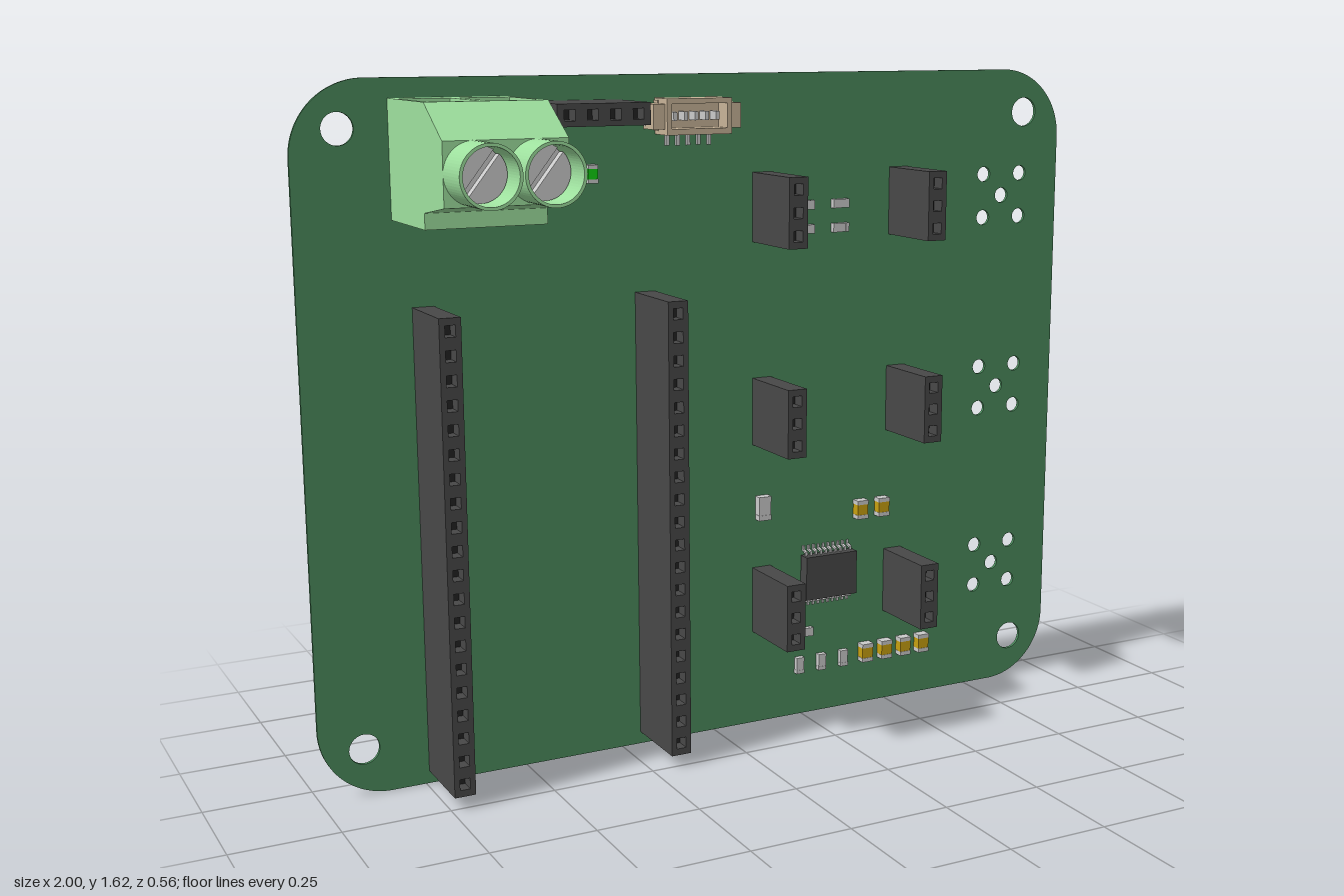
import * as THREE from 'three';

const FACE = -0.176, BACK = -0.184, PITCH = 0.0543;
const mat = (color) => new THREE.MeshStandardMaterial({ color });
const M = {
  board: mat(0x4b8a5c), dark: mat(0x484848), black: mat(0x222222), copper: mat(0xb87840),
  silver: mat(0xcccccc), block: mat(0x9ee09e), beige: mat(0xc8b498), yellow: mat(0xc8a010),
  led: mat(0x10d010), white: mat(0xe0e0e0),
};

function add(parent, name, geo, m, x = 0, y = 0, z = 0) {
  const mesh = new THREE.Mesh(geo, m);
  mesh.name = name;
  mesh.position.set(x, y, z);
  parent.add(mesh);
  return mesh;
}
// box given by centre x, y and its z range
const box = (p, name, m, x, y, w, h, z0, z1) =>
  add(p, name, new THREE.BoxGeometry(w, h, z1 - z0), m, x, y, (z0 + z1) / 2);
const group = (parent, name) => {
  const g = new THREE.Group();
  g.name = name;
  parent.add(g);
  return g;
};
const polygon = (pts) => new THREE.Shape(pts.map(([a, b]) => new THREE.Vector2(a, b)));
const extrude = (shape, depth, curveSegments = 24) =>
  new THREE.ExtrudeGeometry(shape, { depth, bevelEnabled: false, curveSegments });
// side profile of [z, y] points swept from x0 to x1
const sweepX = (pts, x0, x1) =>
  extrude(polygon(pts), x1 - x0).rotateY(-Math.PI / 2).translate(x1, 0, 0);
const circle = (x, y, r) => new THREE.Path().absarc(x, y, r, 0, Math.PI * 2, true);
const rect = (x, y, w, h) => polygon([
  [x - w / 2, y - h / 2], [x + w / 2, y - h / 2], [x + w / 2, y + h / 2], [x - w / 2, y + h / 2]]);

// flat pin with a chamfered tip, pointing to -z
function pinGeometry(tip, height, thick) {
  const h = height / 2;
  return sweepX([[FACE, -h], [FACE, h], [tip + 0.01, h], [tip, h * 0.5], [tip, -h * 0.5], [tip + 0.01, -h]],
    -thick / 2, thick / 2);
}

// circuit board with rounded corners, mounting holes and hole clusters
function buildBoard(root) {
  const s = new THREE.Shape(), r = 0.17, H = 1.622;
  s.absarc(1 - r, r, r, -Math.PI / 2, 0);
  s.absarc(1 - r, H - r, r, 0, Math.PI / 2);
  s.absarc(-1 + r, H - r, r, Math.PI / 2, Math.PI);
  s.absarc(-1 + r, r, r, Math.PI, Math.PI * 1.5);
  for (const x of [-0.893, 0.893]) for (const y of [0.111, 1.515]) s.holes.push(circle(x, y, 0.036));
  for (const y of [0.326, 0.807, 1.305])
    for (const [dx, dy] of [[0, 0], [1, 1], [-1, 1], [1, -1], [-1, -1]])
      s.holes.push(circle(0.83 + dx * 0.055, y + dy * 0.055, 0.019));
  add(root, 'board', extrude(s, FACE - BACK), M.board, 0, 0, BACK);
}

// vertical pin socket strip with n positions
function buildHeader(root, name, n, x, y, pinMat) {
  const g = group(root, name), len = n * PITCH + 0.004, w = 0.05;
  g.position.set(x, y, 0);
  const front = rect(0, 0, w, len);
  const pin = pinGeometry(-0.238, 0.017, 0.008);
  for (let i = 0; i < n; i++) {
    const py = (i - (n - 1) / 2) * PITCH;
    front.holes.push(rect(0, py, 0.024, 0.026));
    add(g, 'pin', pin, pinMat, 0, py);
    box(g, 'contact', M.black, 0, py, 0.023, 0.025, -0.032, -0.028);
  }
  add(g, 'socketFront', extrude(front, 0.036), M.dark, 0, 0, -0.03);
  box(g, 'socketBody', M.dark, 0, 0, w, len, FACE, -0.03);
  return g;
}

// two-way screw terminal
function buildTerminal(root) {
  const g = group(root, 'screwTerminal');
  const top = 1.578, lower = [[0.184, 1.505], [0.184, 1.37], [0.056, 1.35], [0.056, 1.315], [FACE, 1.315]];
  const wall = [[FACE, top], [0.073, top], ...lower];
  const cell = [[FACE, top], [-0.127, top], [-0.127, 1.43], [-0.08, 1.43], [-0.08, 1.49],
    [0.04, 1.52], [0.062, top], [0.073, top], ...lower];
  for (const [a, b] of [[-0.781, -0.77], [-0.656, -0.636], [-0.52, -0.508]])
    add(g, 'wall', sweepX(wall, a, b), M.block);
  for (const [a, b] of [[-0.77, -0.656], [-0.636, -0.52]])
    add(g, 'wireEntry', sweepX(cell, a, b), M.block);
  // interlocking ribs on one side
  for (const y of [1.335, 1.545]) box(g, 'rib', M.block, -0.502, y, 0.014, 0.018, -0.16, 0.0);

  const ring = new THREE.Shape().absarc(0, 0, 0.067, 0, Math.PI * 2);
  ring.holes.push(circle(0, 0, 0.06));
  const pin = pinGeometry(-0.281, 0.02, 0.018);
  for (const x of [-0.714, -0.576]) {
    add(g, 'screwTube', extrude(ring, 0.103, 32), M.block, x, 1.438, 0.18);
    const screw = group(g, 'screw');
    screw.position.set(x, 1.438, 0.184);
    screw.rotation.z = 0.9;
    add(screw, 'screwBase', new THREE.CylinderGeometry(0.058, 0.058, 0.012, 32).rotateX(Math.PI / 2), M.silver, 0, 0, 0.006);
    const half = new THREE.Shape().absarc(0, 0, 0.058, 0.13, Math.PI - 0.13);
    for (const a of [0, Math.PI])
      add(screw, 'screwHead', extrude(half, 0.02), M.silver, 0, 0, 0.012).rotation.z = a;
    add(g, 'terminalPin', pin, M.silver, x, 1.41);
  }
}

// small white-beige cable connector with five contacts
function buildConnector(root) {
  const g = group(root, 'cableConnector'), cx = -0.064;
  box(g, 'back', M.beige, cx, 1.528, 0.17, 0.07, FACE, -0.155);
  box(g, 'topWall', M.beige, cx, 1.562, 0.166, 0.012, FACE, -0.108);
  box(g, 'bottomWall', M.beige, cx, 1.492, 0.166, 0.014, FACE, -0.108);
  for (const s of [-1, 1]) {
    box(g, 'endWall', M.beige, cx + s * 0.077, 1.527, 0.012, 0.06, FACE, -0.108);
    box(g, 'endLug', M.beige, cx + s * 0.097, 1.527, 0.03, 0.058, FACE, -0.12);
    box(g, 'mountTab', M.silver, cx + s * 0.104, 1.53, 0.018, 0.05, FACE, -0.165);
  }
  for (let i = -2; i <= 2; i++) {
    box(g, 'contact', M.silver, cx + i * 0.027, 1.527, 0.009, 0.02, -0.156, -0.125);
    box(g, 'lead', M.silver, cx + i * 0.027, 1.473, 0.008, 0.03, FACE, -0.168);
  }
}

// chip with bent leads on both long edges
function buildChip(root) {
  const g = group(root, 'chip'), cx = 0.318, cy = 0.367;
  box(g, 'chipBody', M.dark, cx, cy, 0.146, 0.112, -0.172, -0.141);
  const lead = sweepX([[-0.158, 0.054], [-0.158, 0.066], [-0.172, 0.07], [-0.172, 0.079],
    [FACE, 0.079], [FACE, 0.066], [-0.163, 0.062], [-0.163, 0.054]].reverse(), -0.003, 0.003);
  for (let i = 0; i < 10; i++) for (const s of [0, 1])
    add(g, 'lead', lead, M.silver, cx + (i - 4.5) * 0.0142, cy).rotation.z = s * Math.PI;
}

// chip component with two metal end caps
function buildPassive(root, name, m, x, y, w, h, height, horizontal = false) {
  const g = group(root, name), cap = h * 0.22;
  g.position.set(x, y, 0);
  box(g, 'body', m, 0, 0, w * 0.96, h - 2 * cap, FACE, FACE + height * 0.95);
  for (const s of [-1, 1])
    box(g, 'endCap', M.silver, 0, s * (h - cap) / 2, w, cap, FACE, FACE + height);
  if (horizontal) g.rotation.z = Math.PI / 2;
}

export function createModel() {
  const root = new THREE.Group();
  root.name = 'circuitBoard';
  buildBoard(root);
  for (const x of [-0.717, -0.177]) buildHeader(root, 'longHeader', 20, x, 0.575, M.copper);
  for (const x of [0.134, 0.517]) for (const y of [0.324, 0.805, 1.305])
    buildHeader(root, 'shortHeader', 3, x, y, M.copper);
  buildHeader(root, 'topHeader', 4, -0.351, 1.541, M.silver).rotation.z = Math.PI / 2;
  buildTerminal(root);
  buildConnector(root);
  buildChip(root);

  // resistors, capacitors and indicator light
  for (const x of [0.251, 0.348]) for (const y of [1.246, 1.305])
    buildPassive(root, 'resistor', M.silver, x, y, 0.022, 0.044, 0.014, true);
  buildPassive(root, 'resistor', M.silver, 0.257, 0.219, 0.022, 0.042, 0.014, true);
  for (const x of [0.241, 0.305, 0.37]) buildPassive(root, 'resistor', M.silver, x, 0.133, 0.022, 0.042, 0.014);
  buildPassive(root, 'resistor', M.silver, -0.433, 1.4, 0.022, 0.042, 0.014);
  buildPassive(root, 'indicatorLight', M.led, -0.312, 1.4, 0.024, 0.042, 0.022);
  buildPassive(root, 'largeResistor', M.white, 0.134, 0.561, 0.034, 0.06, 0.022);
  for (const x of [0.415, 0.478]) buildPassive(root, 'capacitor', M.yellow, x, 0.525, 0.032, 0.048, 0.024);
  for (const x of [0.435, 0.493, 0.55, 0.606]) buildPassive(root, 'capacitor', M.yellow, x, 0.14, 0.032, 0.048, 0.024);
  return root;
}
